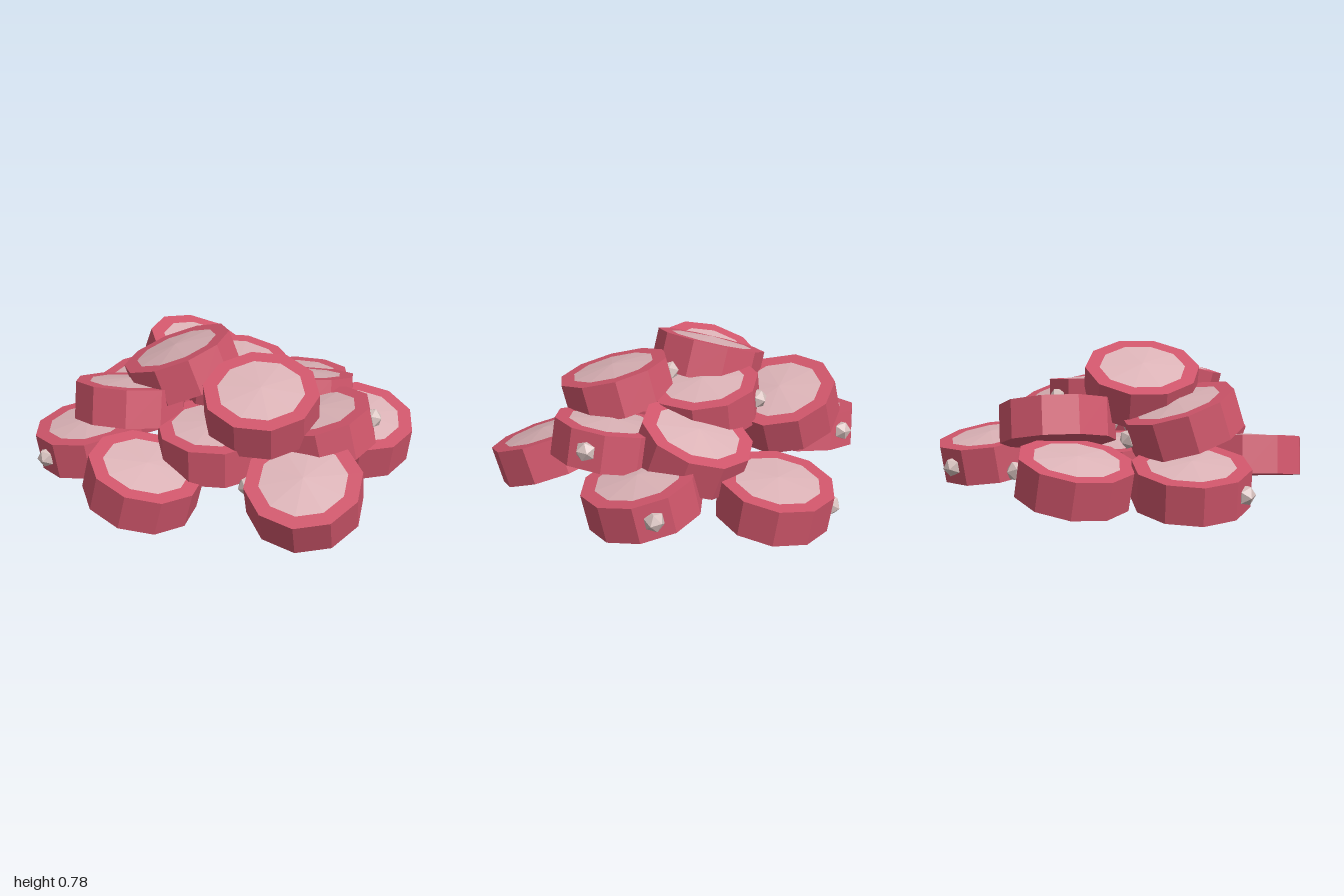
import * as THREE from 'three';

const RADIUS = 0.3, HEIGHT = 0.2, SIDES = 10;

// each slice: rim centre [x, y, z], lean of its axis [x, z], direction of the stem nub [x, z]
const SLICES = [
  // bottom layer
  [[0.21, 0.25, -0.68], [-0.04, -0.15], [-0.18, -0.24]],
  [[-0.6, 0.27, -0.28], [-0.17, 0.12], [0.03, -0.3]],
  [[0.7, 0.3, -0.17], [0.13, 0.15], [0.17, -0.22]],
  [[-0.7, 0.25, 0.28], [-0.16, 0], [-0.17, 0.25]],
  [[0.6, 0.3, 0.58], [0.03, 0.36], [-1, 0.1]],
  [[-0.2, 0.28, 0.67], [0.24, 0.03], [0.3, -1]],
  [[0.04, 0.23, 0], [0, -0.08], [1, -0.3]],
  // middle layer
  [[-0.27, 0.5, -0.35], [0.32, 0], [0.3, 1]],
  [[-0.45, 0.52, 0.25], [-0.05, -0.3], [0, -1]],
  [[0.53, 0.46, 0.15], [-0.23, 0], [1, -0.3]],
  [[0.34, 0.45, -0.27], [-0.08, -0.32], [-0.1, 1]],
  [[0.06, 0.41, 0.37], [0, 0.03], [-0.2, -1]],
  // top layer
  [[0.05, 0.58, -0.07], [0.14, 0], [-0.14, -0.27]],
  [[0.3, 0.635, 0.34], [0.06, 0.26], [-0.7, -0.7]],
  [[-0.25, 0.68, 0.1], [-0.36, 0], [-1, 0.7]],
];

export function createModel() {
  const skin = new THREE.MeshStandardMaterial({ color: 0xd0566b, flatShading: true });
  skin.name = 'red skin';
  const flesh = new THREE.MeshStandardMaterial({ color: 0xdcb3b7, flatShading: true });
  flesh.name = 'pale pink flesh';
  const stem = new THREE.MeshStandardMaterial({ color: 0xd6c0bd, flatShading: true });
  stem.name = 'greyish stem';

  // drum with its top face at y = 0, a shallow pale cap, and a nub on the wall
  const drumGeo = new THREE.CylinderGeometry(RADIUS, RADIUS, HEIGHT, SIDES).translate(0, -HEIGHT / 2, 0);
  const capGeo = new THREE.ConeGeometry(RADIUS * 0.75, 0.02, SIDES, 1, true).translate(0, 0.011, 0);
  const nubGeo = new THREE.IcosahedronGeometry(0.055, 0).translate(RADIUS * 0.96, -HEIGHT / 2, 0);

  const pile = new THREE.Group();
  pile.name = 'pileOfSlices';
  const up = new THREE.Vector3(0, 1, 0);

  SLICES.forEach(([pos, lean, nubDir], i) => {
    const slice = new THREE.Group();
    slice.name = `slice${i + 1}`;
    for (const [name, geo, mat] of [['rind', drumGeo, skin], ['cutFace', capGeo, flesh], ['stemNub', nubGeo, stem]]) {
      const mesh = new THREE.Mesh(geo, mat);
      mesh.name = name;
      slice.add(mesh);
    }
    // turn the nub first, then lean the axis
    const axis = new THREE.Vector3(lean[0], Math.sqrt(1 - lean[0] ** 2 - lean[1] ** 2), lean[1]);
    const yaw = new THREE.Quaternion().setFromAxisAngle(up, Math.atan2(-nubDir[1], nubDir[0]));
    slice.quaternion.setFromUnitVectors(up, axis).multiply(yaw);
    slice.position.set(...pos);
    pile.add(slice);
  });
  return pile;
}
